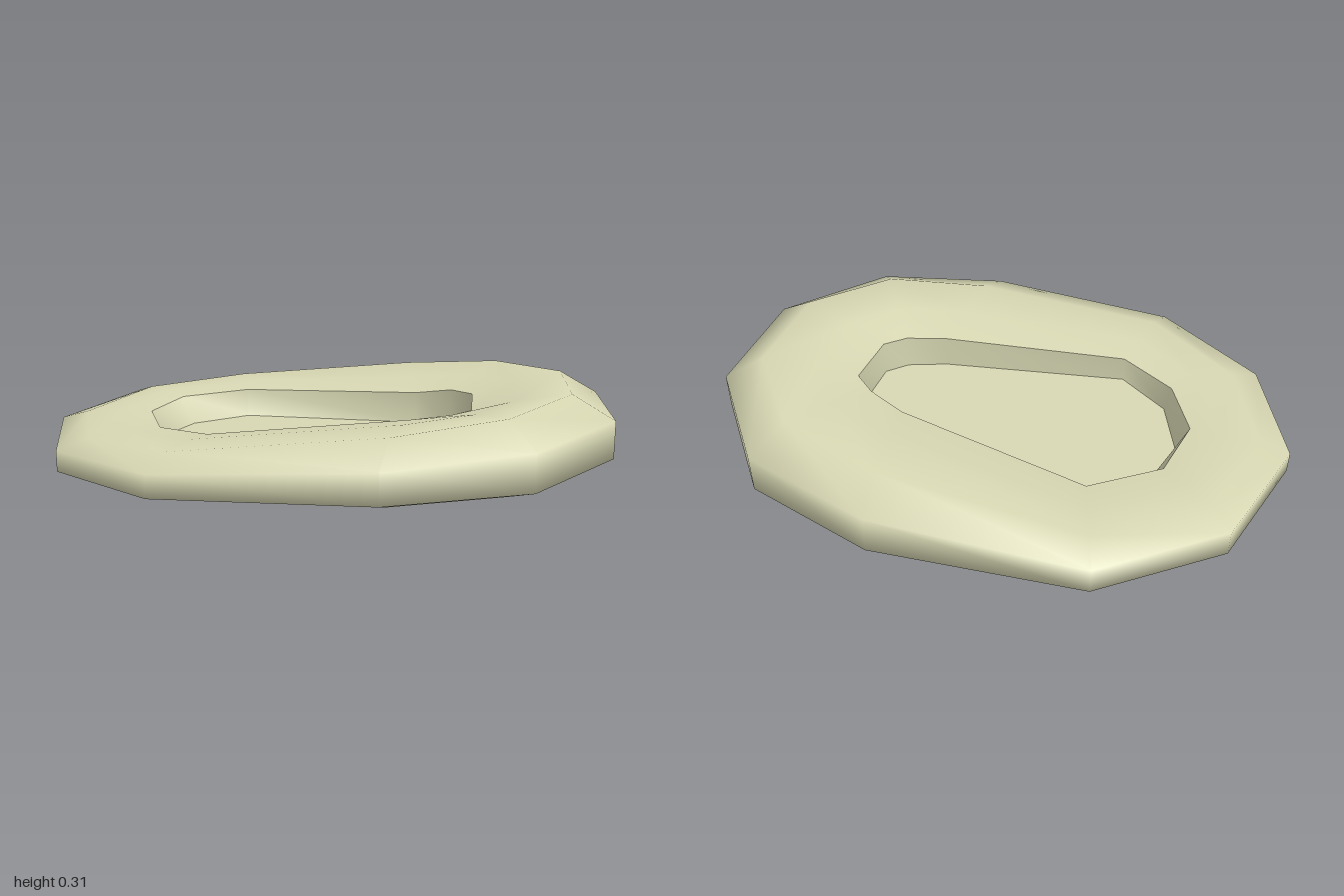
import * as THREE from 'three';

// Per rib around the ring, clockwise seen from above:
// [x, z] of outer rim, lip of the hollow and edge of its floor
const OUTER = [[-0.42, -0.95], [0.08, -0.945], [0.7, -0.53], [0.99, -0.12], [0.99, 0.39], [0.69, 0.8],
  [0.21, 0.945], [-0.27, 0.78], [-0.85, 0.31], [-1, -0.18], [-0.84, -0.66]];
const LIP = [[-0.35, -0.61], [-0.06, -0.6], [0.42, -0.03], [0.5, 0.1], [0.52, 0.21], [0.37, 0.4],
  [0.27, 0.415], [0.12, 0.37], [-0.52, 0.04], [-0.61, -0.19], [-0.55, -0.44]];
const FLOOR = LIP.map(([x, z], i) =>
  i === 0 ? [-0.33, -0.55] : i === 1 ? [-0.08, -0.55] : i === 9 ? [-0.585, -0.19] : i === 10 ? [-0.51, -0.42] : [x, z]);

// Heights per rib
const BASE_Y = [0.03, 0.035, 0.04, 0.05, 0.05, 0.04, 0.015, 0.003, 0.012, 0.018, 0.022];
const LOW_Y = [0.055, 0.065, 0.08, 0.095, 0.1, 0.085, 0.065, 0.05, 0.04, 0.035, 0.045];
const HIGH_Y = [0.15, 0.16, 0.22, 0.235, 0.23, 0.22, 0.195, 0.16, 0.12, 0.11, 0.125];
const CREST_Y = [0.18, 0.2, 0.27, 0.305, 0.317, 0.305, 0.275, 0.23, 0.165, 0.142, 0.155];
const LIP_Y = [0.17, 0.175, 0.21, 0.235, 0.235, 0.22, 0.215, 0.205, 0.16, 0.15, 0.16];

const ring = (plan, height) => plan.map(([x, z], i) =>
  new THREE.Vector3(x, typeof height === 'function' ? height(x) : height[i], z));
const blend = (a, b, t) => a.map((p, i) => p.clone().lerp(b[i], t));
const setY = (plan, t, ys) => OUTER.map(([x, z], i) =>
  new THREE.Vector3(x + (plan[i][0] - x) * t, ys[i], z + (plan[i][1] - z) * t));
const centre = (r) => {
  const c = r.reduce((s, p) => s.add(p), new THREE.Vector3()).divideScalar(r.length);
  return r.map(() => c);
};

// Skin a list of closed cross-section rings
function loft(name, rings, material) {
  const n = OUTER.length;
  const index = [];
  for (let r = 0; r < rings.length - 1; r++) {
    for (let i = 0; i < n; i++) {
      const a = r * n + i, b = r * n + (i + 1) % n;
      index.push(a, a + n, b + n, a, b + n, b);
    }
  }
  const geometry = new THREE.BufferGeometry().setFromPoints(rings.flat());
  geometry.setIndex(index);
  geometry.computeVertexNormals();
  const mesh = new THREE.Mesh(geometry, material);
  mesh.name = name;
  return mesh;
}

export function createModel() {
  const group = new THREE.Group();
  group.name = 'hollowedRing';
  const material = new THREE.MeshStandardMaterial({ color: 0xd8d8b4, side: THREE.DoubleSide });

  const under = ring(FLOOR, (x) => 0.045 + 0.02 * x);
  const base = setY(LIP, 0.28, BASE_Y);
  const low = ring(OUTER, LOW_Y);
  const high = ring(OUTER, HIGH_Y);
  const crest = setY(LIP, 0.3, CREST_Y);
  const lip = ring(LIP, LIP_Y);
  const floor = ring(FLOOR, (x) => 0.075 + 0.03 * x);

  // Slightly domed slope between crest and lip
  const slope = blend(crest, lip, 0.55);
  slope.forEach((p) => { p.y += 0.008; });

  group.add(
    loft('underside', [centre(under), under], material),
    loft('ringBody', [under, base, low, high, crest, slope, lip], material),
    loft('hollowWall', [lip, floor], material),
    loft('hollowFloor', [floor, centre(floor)], material),
  );
  return group;
}
